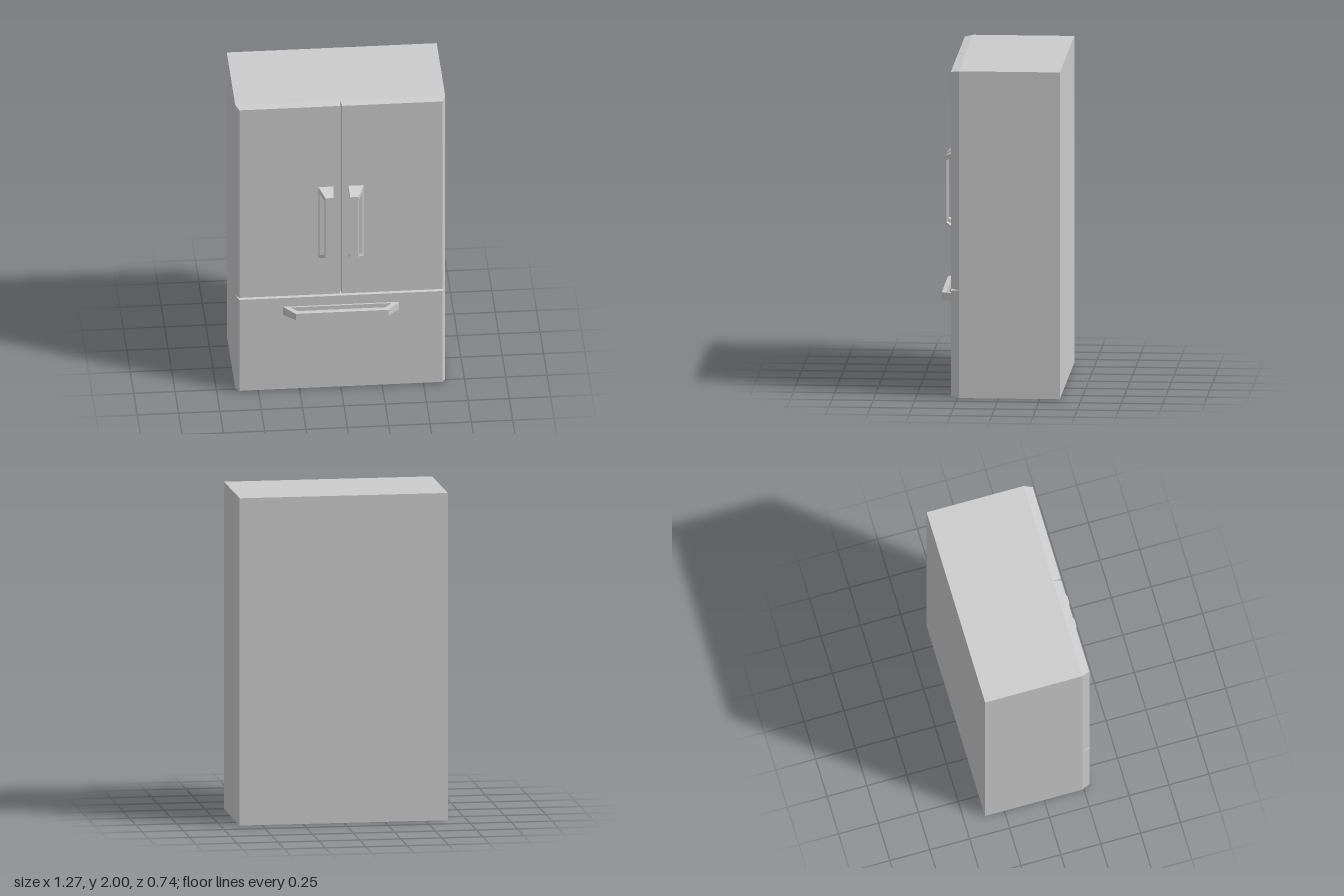
import * as THREE from 'three';

const material = new THREE.MeshStandardMaterial({ color: 0xcccccc, flatShading: true });
const BACK = -0.37, BODY_FRONT = 0.24, DOOR_FRONT = 0.29;

function addMesh(group, geometry, name) {
  const mesh = new THREE.Mesh(geometry, material);
  mesh.name = name;
  group.add(mesh);
}

// Door slab: a box whose front edges are inset by [left, right, bottom, top].
function doorGeometry(x0, x1, y0, y1, [l, r, b, t]) {
  const geo = new THREE.BoxGeometry(1, 1, 1);
  const p = geo.attributes.position;
  for (let i = 0; i < p.count; i++) {
    const k = p.getZ(i) > 0 ? 1 : 0;
    p.setXYZ(i,
      p.getX(i) < 0 ? x0 + l * k : x1 - r * k,
      p.getY(i) < 0 ? y0 + b * k : y1 - t * k,
      k ? DOOR_FRONT : BODY_FRONT);
  }
  geo.computeVertexNormals();
  return geo;
}

// Trapezoid frame from corner lists, extruded by one unit.
function frameGeometry(outer, hole) {
  const toPoints = (list) => list.map(([a, b]) => new THREE.Vector2(a, b));
  const shape = new THREE.Shape(toPoints(outer));
  shape.holes.push(new THREE.Path(toPoints(hole)));
  return new THREE.ExtrudeGeometry(shape, { depth: 1, bevelEnabled: false });
}

// Upright handle on one door; its outer side slopes inwards towards the front.
function doorHandleGeometry(side) {
  const geo = frameGeometry(
    [[-0.29, 0.925], [-0.29, 1.425], [-0.358, 1.385], [-0.358, 0.965]],
    [[-0.303, 0.952], [-0.35, 0.979], [-0.35, 1.361], [-0.303, 1.388]]);
  geo.rotateY(Math.PI / 2);
  const p = geo.attributes.position;
  for (let i = 0; i < p.count; i++) {
    const t = (p.getZ(i) - DOOR_FRONT) / 0.068;
    const isOuter = (p.getX(i) > 0.5) === (side > 0);
    p.setX(i, side * (isOuter ? 0.137 - 0.037 * t : 0.045 + 0.005 * t));
  }
  geo.computeVertexNormals();
  return geo;
}

// Wide drawer handle, slightly slimmer towards the front.
function drawerHandleGeometry() {
  const geo = frameGeometry(
    [[-0.352, -0.29], [0.352, -0.29], [0.28, -0.368], [-0.28, -0.368]],
    [[-0.305, -0.3], [-0.265, -0.34], [0.265, -0.34], [0.305, -0.3]]);
  geo.rotateX(-Math.PI / 2);
  const p = geo.attributes.position;
  for (let i = 0; i < p.count; i++) {
    const t = (p.getZ(i) - DOOR_FRONT) / 0.078;
    p.setY(i, p.getY(i) > 0.5 ? 0.59 - 0.006 * t : 0.535 + 0.006 * t);
  }
  geo.computeVertexNormals();
  return geo;
}

export function createModel() {
  const group = new THREE.Group();
  group.name = 'refrigerator';

  // Cabinet
  const depth = BODY_FRONT - BACK;
  const cabinet = new THREE.BoxGeometry(1.27, 2, depth);
  cabinet.translate(0, 1, BACK + depth / 2);
  addMesh(group, cabinet, 'cabinet');

  // Two upper doors meeting in the middle, and the drawer below
  addMesh(group, doorGeometry(0, 0.635, 0.66, 2, [0.006, 0.02, 0.007, 0.008]), 'leftDoor');
  addMesh(group, doorGeometry(-0.635, 0, 0.66, 2, [0.02, 0.006, 0.007, 0.008]), 'rightDoor');
  addMesh(group, doorGeometry(-0.635, 0.635, 0, 0.66, [0.02, 0.02, 0.01, 0.008]), 'drawer');

  // Handles
  addMesh(group, doorHandleGeometry(1), 'leftDoorHandle');
  addMesh(group, doorHandleGeometry(-1), 'rightDoorHandle');
  addMesh(group, drawerHandleGeometry(), 'drawerHandle');
  return group;
}
